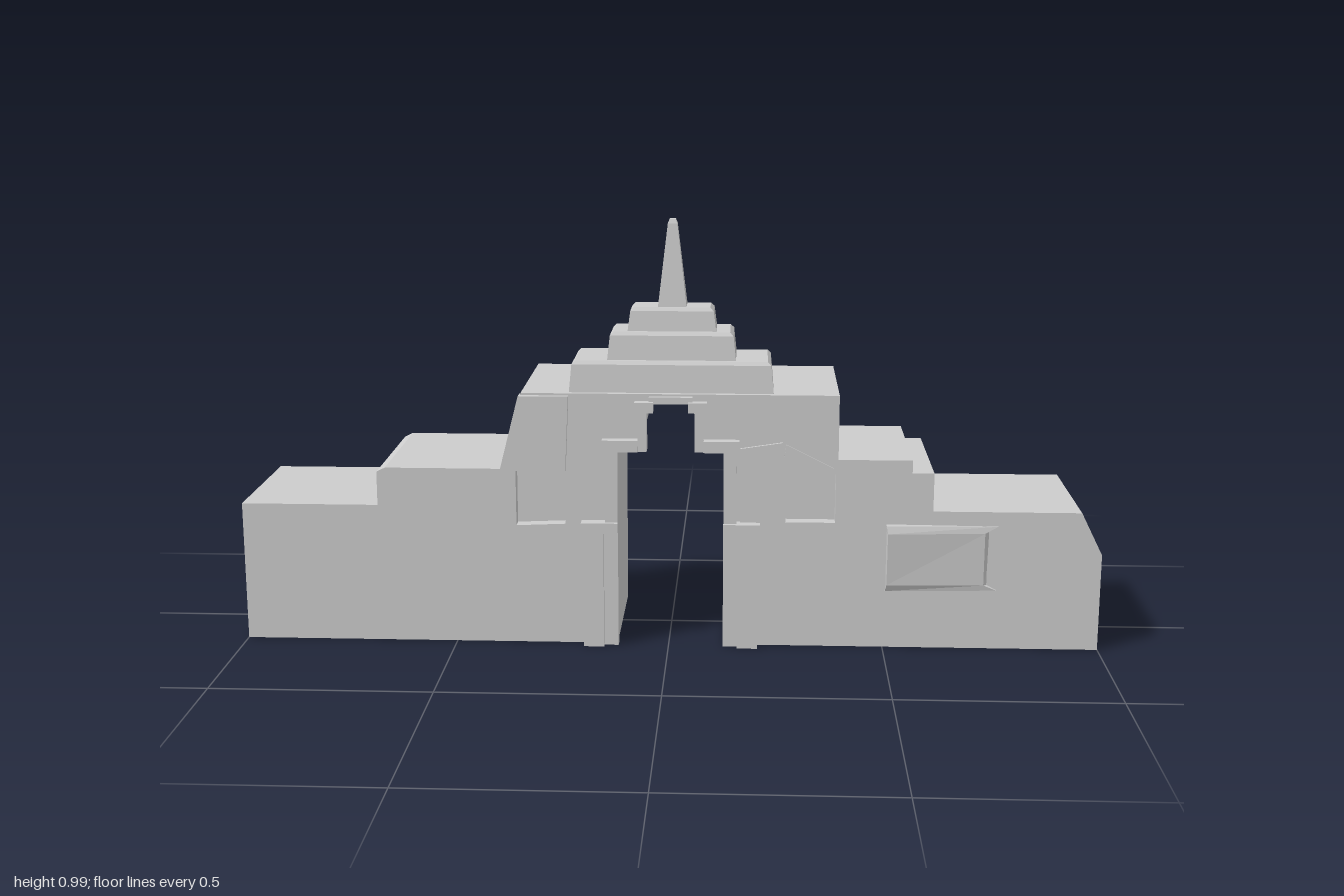
import * as THREE from 'three';

const stone = new THREE.MeshStandardMaterial({ color: 0xcccccc, flatShading: true });
stone.name = 'grey stone';

const FRONT = 0.165, BACK = -0.19, LAYER = 0.135;

function add(group, name, geometry) {
  const mesh = new THREE.Mesh(geometry, stone);
  mesh.name = name;
  group.add(mesh);
  return mesh;
}

const toVec = (pts) => pts.map(([x, y]) => new THREE.Vector2(x, y));

// Outline pushed from z0 to z1, with optional holes
function slab(points, z0, z1, holes = []) {
  const shape = new THREE.Shape(toVec(points));
  for (const h of holes) shape.holes.push(new THREE.Path(toVec(h)));
  const g = new THREE.ExtrudeGeometry(shape, { depth: z1 - z0, bevelEnabled: false });
  return g.translate(0, 0, z0);
}

// Closed solid through four-cornered loops, bottom to top
function loft(loops) {
  const pos = [], tri = (...p) => p.forEach((v) => pos.push(...v));
  const quad = (a, b, c, d) => tri(a, b, c, a, c, d);
  for (let i = 0; i + 1 < loops.length; i++) {
    for (let j = 0; j < 4; j++) {
      const k = (j + 1) % 4;
      quad(loops[i][j], loops[i][k], loops[i + 1][k], loops[i + 1][j]);
    }
  }
  const [a, b, c, d] = loops[0];
  quad(d, c, b, a);
  quad(...loops[loops.length - 1]);
  const g = new THREE.BufferGeometry();
  g.setAttribute('position', new THREE.Float32BufferAttribute(pos, 3));
  g.computeVertexNormals();
  return g;
}

// Rectangular loop, counter-clockwise seen from above
const ring = (y, hx, hz) => [[-hx, y, hz], [hx, y, hz], [hx, y, -hz], [-hx, y, -hz]];

export function createModel() {
  const model = new THREE.Group();
  model.name = 'templeGate';

  // Stepped wall with the gateway cut through it
  const outline = [
    [-1, 0], [-0.12, 0], [-0.12, 0.48], [-0.065, 0.48], [-0.065, 0.55], [-0.04, 0.58],
    [0.05, 0.58], [0.07, 0.55], [0.07, 0.48], [0.13, 0.48], [0.13, 0],
    [1, 0], [1, 0.23], [0.95, 0.33], [0.61, 0.33], [0.61, 0.42], [0.56, 0.42], [0.56, 0.45],
    [0.39, 0.45], [0.39, 0.6], [-0.34, 0.6], [-0.39, 0.42], [-0.66, 0.42], [-0.68, 0.41],
    [-0.68, 0.33], [-1, 0.33],
  ];
  const niches = [
    [[-0.355, 0.285], [-0.24, 0.29], [-0.24, 0.415], [-0.355, 0.415]],
    [[0.27, 0.3], [0.385, 0.3], [0.385, 0.415], [0.28, 0.415]],
  ];
  add(model, 'wall', slab(outline, BACK, LAYER));
  add(model, 'wallFace', slab(outline, LAYER, FRONT, niches));

  // Roof tiers and spire: [y0, y1, halfX, halfZ]
  const roof = new THREE.Group();
  roof.name = 'roof';
  roof.position.set(0.005, 0, 0.061);
  model.add(roof);
  const tiers = [[0.6, 0.672, 0.235, 0.091], [0.672, 0.736, 0.148, 0.069], [0.736, 0.79, 0.102, 0.049]];
  for (const [y0, y1, hx, hz] of tiers) {
    add(roof, 'roofTier', loft([
      ring(y0, hx, hz), ring(y1 - 0.008, hx - 0.006, hz - 0.006), ring(y1, hx - 0.014, hz - 0.012),
    ]));
  }
  add(roof, 'spire', loft([
    ring(0.79, 0.033, 0.03), ring(0.98, 0.011, 0.011), ring(0.99, 0.007, 0.007),
  ]));

  // Stepped door surround: [inner, outer, y0, y1, front z], mirrored about the doorway
  const surround = [
    ['jamb', 0.155, 0.203, 0, 0.28, 0.193],
    ['jambCap', 0.122, 0.207, 0.275, 0.3, 0.195],
    ['innerJamb', 0.122, 0.155, 0, 0.275, 0.18],
    ['upperJamb', 0.122, 0.152, 0.3, 0.47, 0.184],
    ['upperCap', 0.075, 0.158, 0.468, 0.495, 0.188],
    ['archPost', 0.055, 0.075, 0.468, 0.565, 0.182],
    ['archCap', 0.04, 0.083, 0.56, 0.584, 0.187],
  ];
  for (const side of [-1, 1]) {
    for (const [name, a, b, y0, y1, z] of surround) {
      const g = new THREE.BoxGeometry(b - a, y1 - y0, z - 0.15);
      add(model, name, g).position.set(0.005 + side * (a + b) / 2, (y0 + y1) / 2, (z + 0.15) / 2);
    }
  }
  add(model, 'archLintel', new THREE.BoxGeometry(0.1, 0.016, 0.03)).position.set(0.005, 0.587, 0.163);

  // Leaning slab above the left niche, tapering to its lower edge
  add(model, 'leaningSlab', loft([
    [[-0.39, 0.42, 0.178], [-0.238, 0.42, 0.178], [-0.238, 0.42, 0.15], [-0.39, 0.42, 0.15]],
    [[-0.345, 0.595, 0.178], [-0.23, 0.595, 0.178], [-0.23, 0.595, 0.15], [-0.345, 0.595, 0.15]],
  ]));

  // Worn blocks beside the right niche
  add(model, 'wornBlock', slab(
    [[0.165, 0.3], [0.235, 0.3], [0.27, 0.42], [0.262, 0.49], [0.165, 0.475]], 0.15, 0.172));
  add(model, 'wornLintel', slab(
    [[0.262, 0.42], [0.385, 0.42], [0.38, 0.43], [0.27, 0.485]], 0.15, 0.17));

  // Wedge panel on the right wing, deepest at its upper inner corner
  add(model, 'wedgePanel', loft([
    [[0.503, 0.138, 0.17], [0.76, 0.142, 0.167], [0.76, 0.142, 0.15], [0.503, 0.138, 0.15]],
    [[0.506, 0.155, 0.178], [0.73, 0.155, 0.17], [0.76, 0.155, 0.15], [0.503, 0.155, 0.15]],
    [[0.506, 0.28, 0.187], [0.73, 0.28, 0.172], [0.76, 0.28, 0.15], [0.503, 0.28, 0.15]],
    [[0.503, 0.298, 0.181], [0.76, 0.296, 0.167], [0.76, 0.296, 0.15], [0.503, 0.298, 0.15]],
  ]));

  return model;
}
